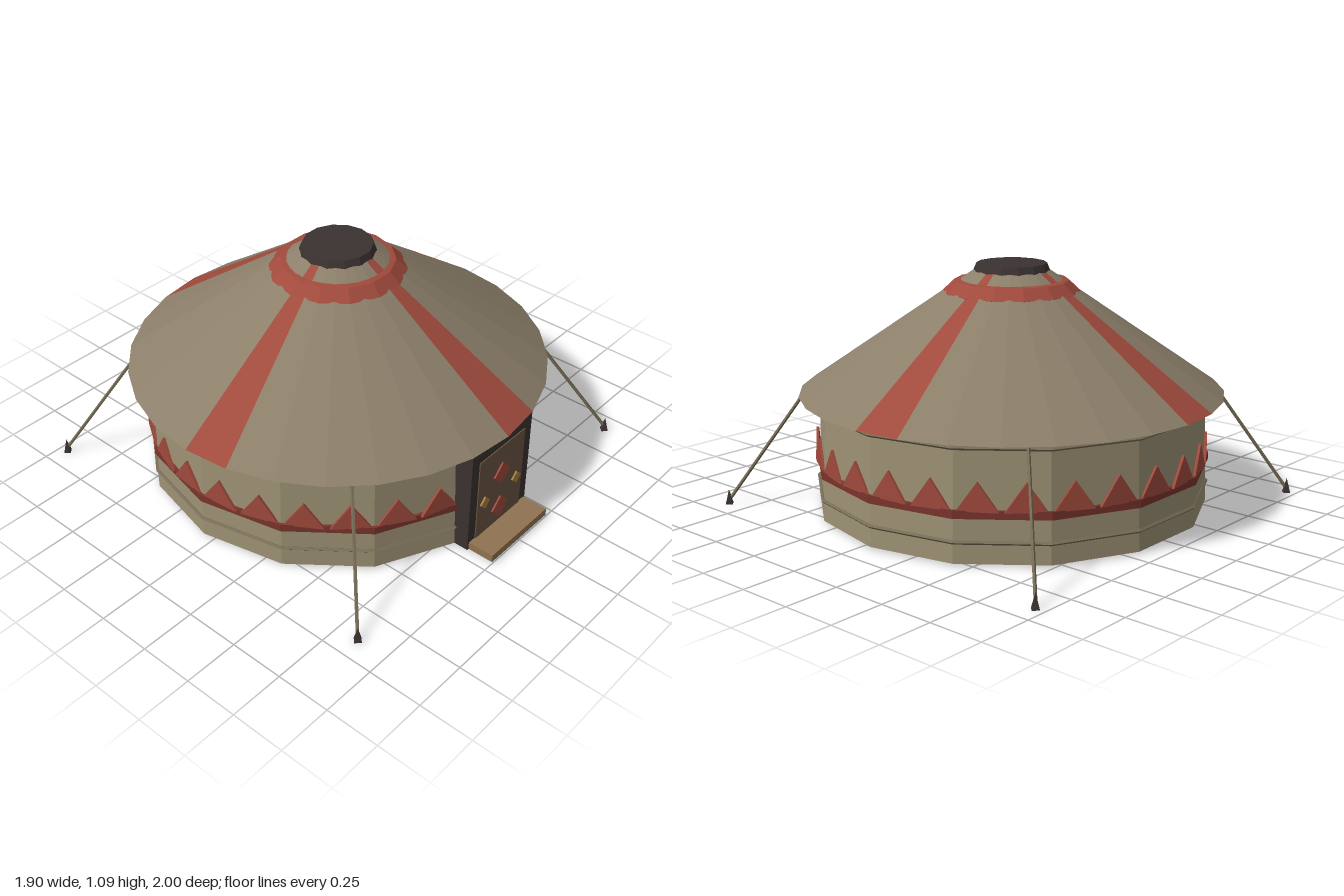
import * as THREE from 'three';

const mat = (color) => new THREE.MeshStandardMaterial({ color, flatShading: true, side: THREE.DoubleSide });

export function createModel() {
  const canvas = mat(0x9c9074), roofCloth = mat(0x8c7f6a), red = mat(0xa04a3c), darkRed = mat(0x7a332c);
  const dark = mat(0x3a3230), brown = mat(0x6b5443), wood = mat(0x8f7350), ochre = mat(0xa8803f), rope = mat(0x776d56);

  const model = new THREE.Group();
  model.name = 'roundTent';
  const tent = new THREE.Group();
  tent.name = 'tent';
  tent.position.z = -0.05;
  model.add(tent);

  const add = (name, geometry, material, x = 0, y = 0, z = 0, parent = tent) => {
    const mesh = new THREE.Mesh(geometry, material);
    mesh.name = name;
    mesh.position.set(x, y, z);
    parent.add(mesh);
    return mesh;
  };
  // 14-sided turned shape with a corner on the x axis
  const SIDES = 14;
  const turned = (points) =>
    new THREE.LatheGeometry(points.map(([r, y]) => new THREE.Vector2(r, y)), SIDES, Math.PI / 2);

  // Wall with closed floor
  add('wall', turned([[0, 0.01], [0.885, 0.01], [0.866, 0.522]]), canvas);

  // Roof: 28 sides, one red panel in every seven
  const step = (Math.PI * 2) / 28;
  for (let q = 0; q < 4; q++) {
    const panel = (name, first, count, material) =>
      add(name, new THREE.CylinderGeometry(0.165, 0.95, 0.54, count, 1, false, (q * 7 + first) * step, count * step),
        material, 0, 0.79, 0);
    panel('roofStripe', 0, 1, red);
    panel('roofPanel', 1, 6, roofCloth);
  }

  // Collar and smoke-hole crown
  add('roofCollar', turned([[0.27, 0.95], [0.305, 0.967], [0.255, 1.015], [0.215, 1.02], [0.21, 0.98]]), red);
  add('crown', turned([[0.15, 1.045], [0.172, 1.052], [0.156, 1.09], [0, 1.09]]), dark);

  // Woven band with a row of pointed flaps
  add('wallBand', turned([[0.86, 0.2], [0.89, 0.2], [0.89, 0.235], [0.86, 0.235]]), darkRed);
  const tri = new THREE.Shape([[-0.088, 0], [0.088, 0], [0, 0.125]].map(([x, y]) => new THREE.Vector2(x, y)));
  const flap = new THREE.ExtrudeGeometry(tri, { depth: 0.012, bevelEnabled: false });
  for (let i = 1; i < 27; i++) {
    const a = (i + 0.5) * step;
    add('bandPoint', flap, red, Math.sin(a) * 0.866, 0.23, Math.cos(a) * 0.866).rotation.y = a;
  }

  // Ropes tied around the wall
  for (const [y, r] of [[0.1, 0.884], [0.49, 0.882]]) {
    const t = 0.009;
    add('wallRope', turned([[r - 2 * t, y], [r, y - t], [r + t, y], [r, y + t], [r - 2 * t, y]]), rope);
  }

  // Door in its frame, with diamond ornaments and a doorstep
  const door = new THREE.Group();
  door.name = 'door';
  model.add(door);
  add('doorFrame', new THREE.BoxGeometry(0.42, 0.51, 0.12), dark, 0, 0.265, 0.815, door);
  add('doorPanel', new THREE.BoxGeometry(0.32, 0.42, 0.06), brown, 0, 0.25, 0.85, door);
  for (const [x, y, r, m] of [[0, 0.317, 0.056, red], [0, 0.13, 0.056, red], [-0.113, 0.222, 0.032, ochre], [0.113, 0.222, 0.032, ochre]]) {
    const side = r * Math.SQRT2;
    add('doorDiamond', new THREE.BoxGeometry(side, side, 0.012), m, x, y, 0.882, door).rotation.z = Math.PI / 4;
  }
  add('doorstep', new THREE.BoxGeometry(0.4, 0.036, 0.2), wood, 0, 0.028, 0.9, door);

  // Guy ropes and pegs at the four corners
  const peg = new THREE.ConeGeometry(0.022, 0.068, 4);
  for (const sx of [-1, 1]) for (const sz of [-1, 1]) {
    const top = new THREE.Vector3(sx * 0.65, 0.525, sz * 0.65);
    const foot = new THREE.Vector3(sx * 0.9, 0.03, sz * 0.9);
    add('guyRope', new THREE.TubeGeometry(new THREE.LineCurve3(top, foot), 1, 0.008, 5), rope);
    add('peg', peg, dark, sx * 0.906, 0.034, sz * 0.906);
  }
  return model;
}
